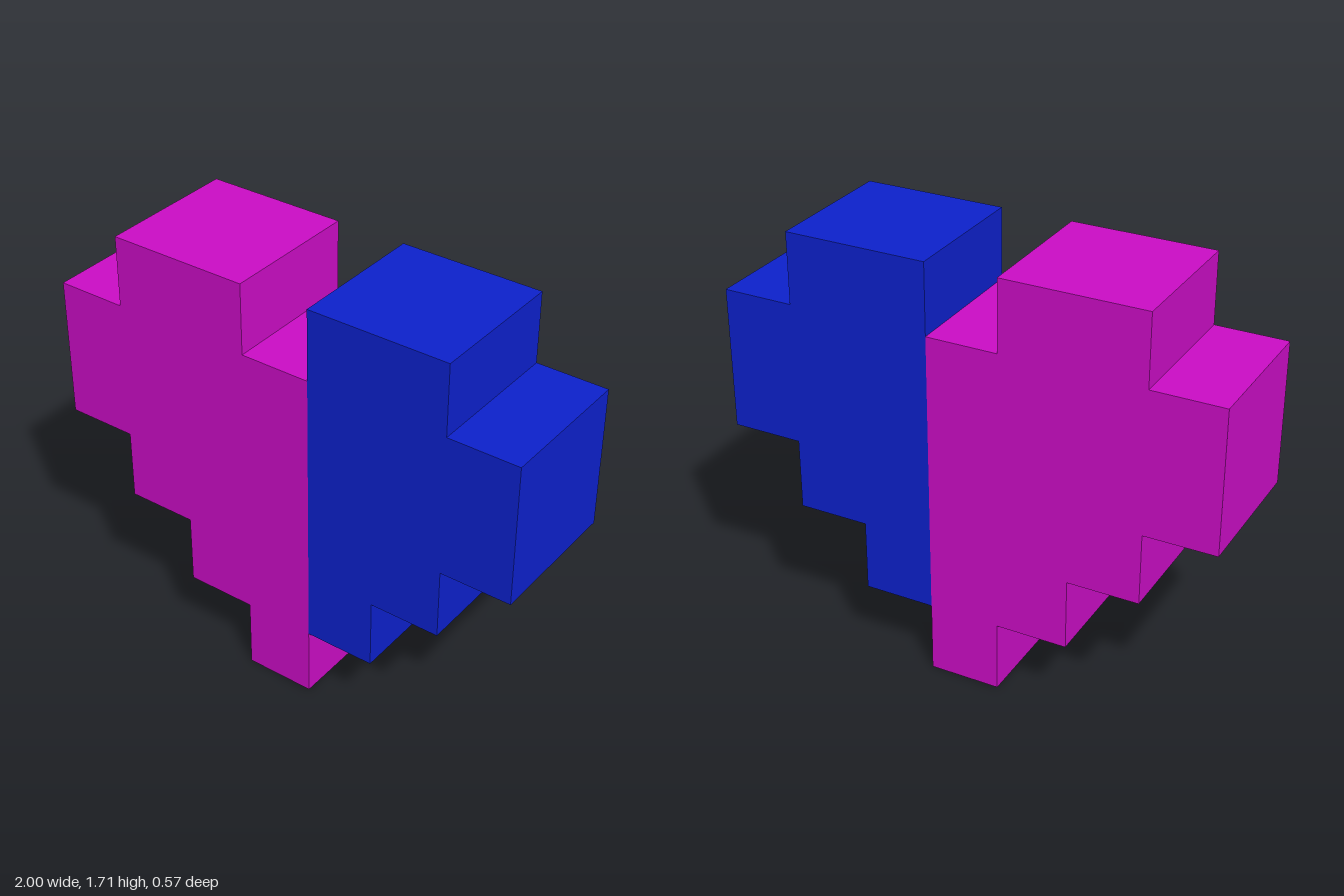
import * as THREE from 'three';

const U = 2 / 7; // one block of the stepped outline
const DEPTH = 2 * U;

const magenta = new THREE.MeshStandardMaterial({ color: 0xcb0dc5 });
magenta.name = 'magenta';
const blue = new THREE.MeshStandardMaterial({ color: 0x0d21cc });
blue.name = 'blue';

// Extrudes an outline given in blocks, counter-clockwise, centred on z = 0
function slab(name, outline, material) {
  const shape = new THREE.Shape(outline.map(([x, y]) => new THREE.Vector2(x * U, y * U)));
  const geometry = new THREE.ExtrudeGeometry(shape, { depth: DEPTH, bevelEnabled: false });
  geometry.translate(0, 0, -DEPTH / 2);
  const mesh = new THREE.Mesh(geometry, material);
  mesh.name = name;
  return mesh;
}

export function createModel() {
  const group = new THREE.Group();
  group.name = 'blockHeart';

  // Right half, including the centre column and the tip
  group.add(slab('heartRightHalf', [
    [-0.5, 0], [0.5, 0], [0.5, 5], [-0.5, 5], [-0.5, 6], [-2.5, 6], [-2.5, 5],
    [-3.5, 5], [-3.5, 3], [-2.5, 3], [-2.5, 2], [-1.5, 2], [-1.5, 1], [-0.5, 1],
  ], magenta));

  // Left half, beside the centre column
  group.add(slab('heartLeftHalf', [
    [0.5, 1], [1.5, 1], [1.5, 2], [2.5, 2], [2.5, 3], [3.5, 3],
    [3.5, 5], [2.5, 5], [2.5, 6], [0.5, 6],
  ], blue));

  return group;
}
